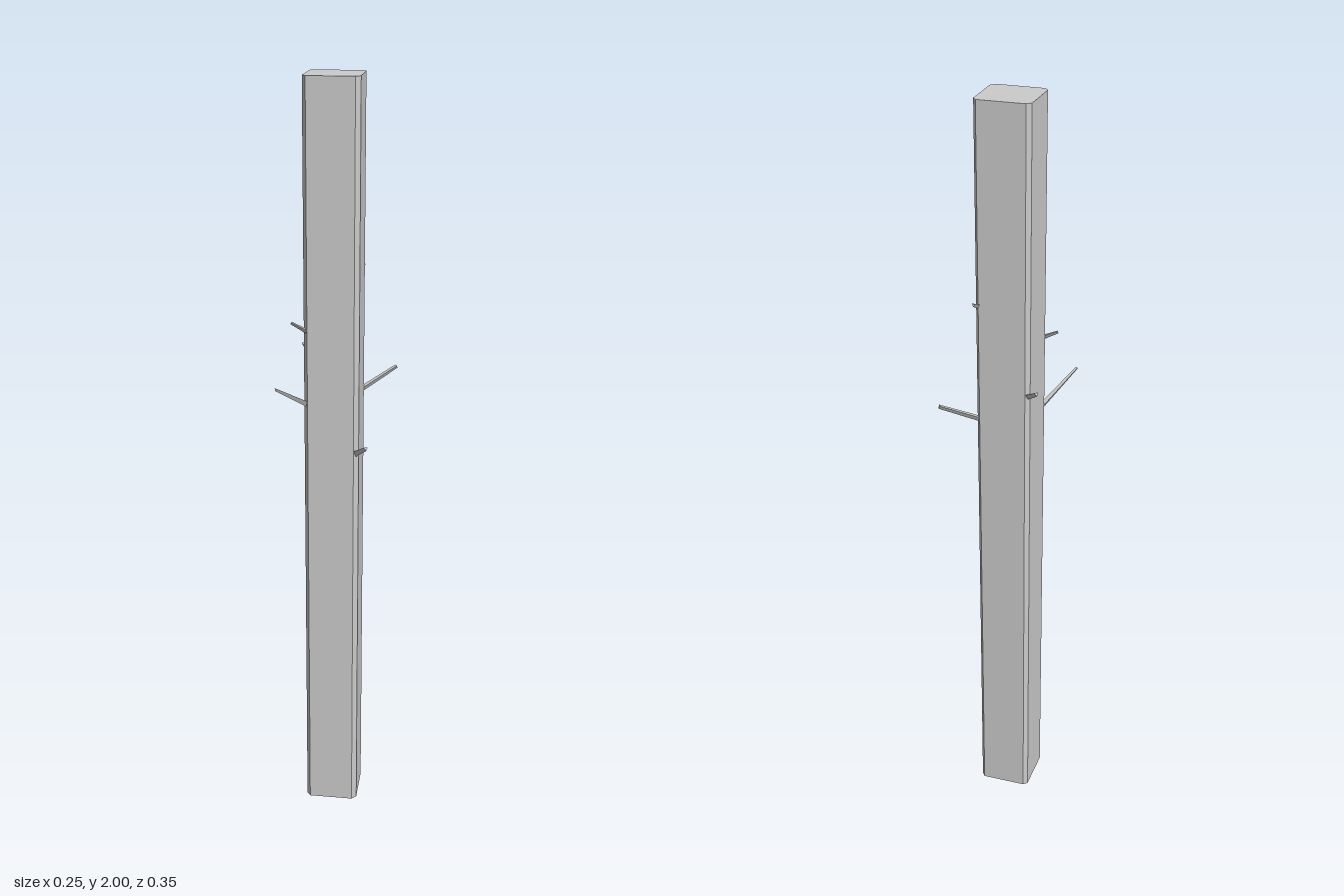
import * as THREE from 'three';

const material = new THREE.MeshStandardMaterial({ color: 0xcccccc, flatShading: true });

// Three-sided tapering twig with its flat side up
function twig(name, from, to, r0, r1) {
  const a = new THREE.Vector3(...from), b = new THREE.Vector3(...to);
  const geometry = new THREE.CylinderGeometry(r1, r0, a.distanceTo(b), 3).rotateX(Math.PI / 2);
  const mesh = new THREE.Mesh(geometry, material);
  mesh.name = name;
  mesh.position.copy(a).add(b).multiplyScalar(0.5);
  mesh.lookAt(b);
  return mesh;
}

export function createModel() {
  const group = new THREE.Group();
  group.name = 'treeTrunk';

  // Trunk: turned square with narrow chamfered corners, outline in x and z
  const outline = [
    [-0.088, -0.059], [-0.08, -0.071], [0.034, -0.104], [0.046, -0.095],
    [0.077, 0.016], [0.069, 0.032], [-0.046, 0.063], [-0.059, 0.053],
  ];
  const shape = new THREE.Shape(outline.map(([x, z]) => new THREE.Vector2(x, -z)));
  const geometry = new THREE.ExtrudeGeometry(shape, { depth: 2, bevelEnabled: false });
  const trunk = new THREE.Mesh(geometry.rotateX(-Math.PI / 2), material);
  trunk.name = 'trunk';
  group.add(trunk);

  // Twigs growing from the chamfered corners
  group.add(
    twig('frontLongTwig', [-0.051, 1.185, 0.055], [-0.083, 1.255, 0.174], 0.008, 0.004),
    twig('frontShortTwig', [-0.048, 1.378, 0.058], [-0.087, 1.398, 0.068], 0.007, 0.004),
    twig('leftTwig', [0.071, 1.055, 0.023], [0.122, 1.095, 0.079], 0.009, 0.006),
    twig('backLongTwig', [0.039, 1.19, -0.096], [0.107, 1.238, -0.175], 0.008, 0.006),
    twig('backShortTwig', [0.037, 1.498, -0.096], [0.029, 1.515, -0.131], 0.007, 0.005),
    twig('rightTwig', [-0.082, 1.272, -0.063], [-0.123, 1.299, -0.085], 0.008, 0.006),
  );
  return group;
}
